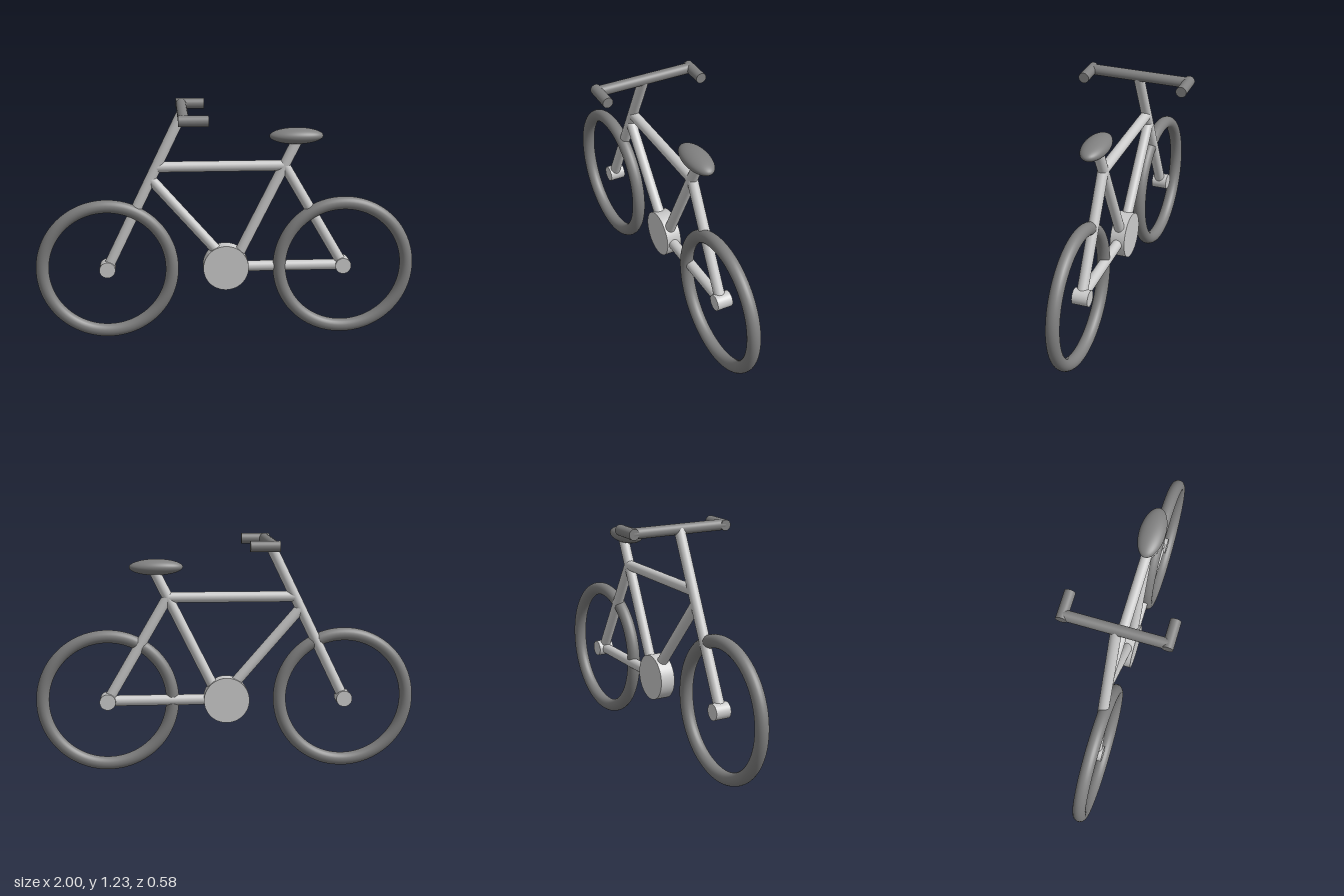
import * as THREE from 'three';

const Z = 0.005; // plane of the frame tubes
const TUBE = 0.028;
const WHEEL_X = 0.625, AXLE_Y = 0.375;

const grey = new THREE.MeshStandardMaterial({ color: 0xcccccc });
const dark = new THREE.MeshStandardMaterial({ color: 0x808080 });

export function createModel() {
  const bike = new THREE.Group();
  bike.name = 'bicycle';

  const add = (name, geometry, material, x, y, z) => {
    const mesh = new THREE.Mesh(geometry, material);
    mesh.name = name;
    mesh.position.set(x, y, z);
    bike.add(mesh);
    return mesh;
  };

  // Round bar between two points
  const rod = (name, from, to, radius = TUBE, material = grey) => {
    const a = new THREE.Vector3(...from), b = new THREE.Vector3(...to);
    const dir = b.clone().sub(a);
    const mid = a.clone().add(b).multiplyScalar(0.5);
    const mesh = add(name, new THREE.CylinderGeometry(radius, radius, dir.length(), 32), material, ...mid);
    mesh.quaternion.setFromUnitVectors(new THREE.Vector3(0, 1, 0), dir.normalize());
    return mesh;
  };

  // Frame: all tubes lie in one plane
  const frame = {
    forkAndStem: [[-WHEEL_X, AXLE_Y], [-0.223, 1.205]],
    topTube: [[-0.361, 0.92], [0.307, 0.92]],
    downTube: [[-0.391, 0.858], [0, 0.41]],
    seatTube: [[0.035, AXLE_Y], [0.38, 1.07]],
    seatStay: [[0.307, 0.92], [WHEEL_X, AXLE_Y]],
    chainStay: [[0, AXLE_Y], [WHEEL_X, AXLE_Y]],
  };
  for (const [name, [a, b]] of Object.entries(frame)) rod(name, [...a, Z], [...b, Z]);

  // Wheels: tyre ring and hub
  for (const [label, x] of [['front', -WHEEL_X], ['rear', WHEEL_X]]) {
    add(label + 'Tyre', new THREE.TorusGeometry(0.341, 0.034, 24, 96), dark, x, AXLE_Y, 0.016);
    rod(label + 'Hub', [x, AXLE_Y, -0.041], [x, AXLE_Y, 0.042], 0.042);
  }

  // Chainring drum
  rod('chainring', [0, AXLE_Y, -0.037], [0, AXLE_Y, 0.042], 0.12).geometry =
    new THREE.CylinderGeometry(0.12, 0.12, 0.079, 64);

  // Handlebar with two grips pointing back
  rod('handlebar', [-0.223, 1.205, -0.262], [-0.223, 1.205, 0.262], TUBE, dark);
  for (const [label, z] of [['left', -0.262], ['right', 0.262]])
    rod(label + 'Grip', [-0.25, 1.205, z], [-0.1, 1.205, z], TUBE, dark);

  // Saddle: flattened ellipsoid
  add('saddle', new THREE.SphereGeometry(1, 48, 32), dark, 0.365, 1.078, 0.016)
    .scale.set(0.14, 0.042, 0.067);

  return bike;
}
